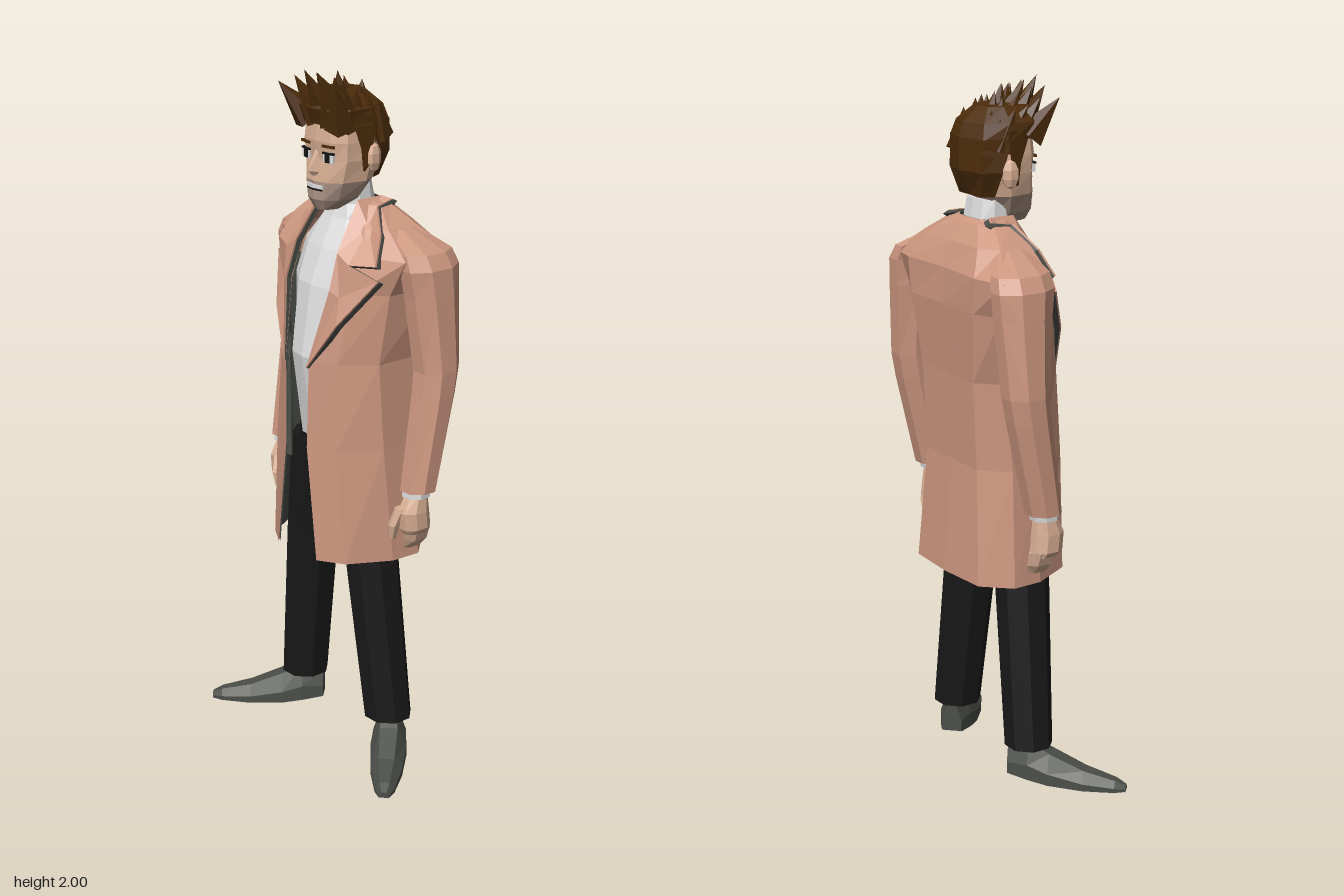
import * as THREE from 'three';

const mat = (name, color) => Object.assign(new THREE.MeshStandardMaterial({ color }), { name });

// Faceted geometry from a list of triangles, turned to face away from its centre
function facets(tris) {
  const c = new THREE.Vector3(), n = new THREE.Vector3();
  tris.forEach(t => t.forEach(p => c.addScaledVector(p, 1 / (tris.length * 3))));
  let vol = 0;
  for (const [a, b, d] of tris) {
    n.crossVectors(b.clone().sub(c), d.clone().sub(c));
    vol += a.clone().sub(c).dot(n);
  }
  const pts = tris.flatMap(([a, b, d]) => (vol < 0 ? [a, d, b] : [a, b, d]));
  const g = new THREE.BufferGeometry().setFromPoints(pts);
  g.computeVertexNormals();
  return g;
}

// Skin a row of rings; closed rings get end caps
function loft(rings, closed = true) {
  const tris = [], n = rings[0].length;
  for (let r = 0; r < rings.length - 1; r++)
    for (let i = 0; i < (closed ? n : n - 1); i++) {
      const j = (i + 1) % n, A = rings[r], B = rings[r + 1];
      tris.push([A[i], A[j], B[j]], [A[i], B[j], B[i]]);
    }
  if (closed) for (const [ring, up] of [[rings[0], false], [rings.at(-1), true]]) {
    const c = ring.reduce((s, p) => s.add(p), new THREE.Vector3()).divideScalar(n);
    for (let i = 0; i < n; i++) {
      const j = (i + 1) % n;
      tris.push(up ? [c, ring[i], ring[j]] : [c, ring[j], ring[i]]);
    }
  }
  return facets(tris);
}

// Ring from half an outline [x, z] running front to back, mirrored in x
function halfRing(y, half) {
  const right = half.map(([x, z]) => new THREE.Vector3(x, y, z));
  const left = half.filter(p => p[0] > 0).reverse().map(([x, z]) => new THREE.Vector3(-x, y, z));
  return [...right, ...left];
}
const halves = rows => rows.map(([y, ...half]) => halfRing(y, half));

// Level oval rings [y, cx, cz, rx, rz]
const ovals = (rows, sides = 8) => loft(rows.map(([y, cx, cz, rx, rz]) =>
  Array.from({ length: sides }, (_, i) => {
    const a = (i + 0.5) / sides * Math.PI * 2, k = 1 / Math.cos(Math.PI / sides);
    return new THREE.Vector3(cx + rx * k * Math.cos(a), y, cz + rz * k * Math.sin(a));
  })));

// Thin plate through [x, y, z] corners, between two offsets up and forward
const plate = (pts, d0, d1) => loft([d0, d1].map(d => pts.map(([x, y, z]) => new THREE.Vector3(x, y + d * 0.5, z + d))));

function flat(g) {
  const f = g.index ? g.toNonIndexed() : g;
  f.computeVertexNormals();
  return f;
}

// Mirror in x, keeping the faces outward
function mirror(g) {
  const f = g.clone().scale(-1, 1, 1), p = f.attributes.position;
  for (let i = 0; i < p.count; i += 3) {
    const b = new THREE.Vector3().fromBufferAttribute(p, i + 1);
    p.setXYZ(i + 1, p.getX(i + 2), p.getY(i + 2), p.getZ(i + 2));
    p.setXYZ(i + 2, b.x, b.y, b.z);
  }
  f.computeVertexNormals();
  return f;
}

export function createModel() {
  const model = new THREE.Group();
  const coat = mat('coat tan', 0xcd9780), lining = mat('lining and shoe grey', 0x4b4e48);
  const shirt = mat('shirt white', 0xdedede), trousers = mat('trouser black', 0x191919);
  const skin = mat('skin', 0xd9b095), stubble = mat('stubble', 0xab9284);
  const hair = mat('hair brown', 0x4d2d0b), ink = mat('eye black', 0x141414);
  for (const m of [coat, lining, hair]) m.side = THREE.DoubleSide;

  const add = (name, g, m) => {
    const mesh = new THREE.Mesh(g, m);
    mesh.name = name;
    model.add(mesh);
  };
  const both = (name, g, m) => {
    add(name + 'Left', g, m);
    add(name + 'Right', mirror(g), m);
  };

  // Long open coat; the outline runs from one front edge around the back to the other
  const coatShell = loft(halves([
    [0.62, [0.085, 0.165], [0.16, 0.12], [0.225, 0.0], [0.23, -0.09], [0.16, -0.165], [0, -0.175]],
    [0.95, [0.045, 0.165], [0.13, 0.13], [0.205, 0.02], [0.205, -0.08], [0.13, -0.15], [0, -0.15]],
    [1.2, [0.05, 0.16], [0.12, 0.12], [0.195, 0.03], [0.195, -0.1], [0.13, -0.162], [0, -0.162]],
    [1.4, [0.09, 0.105], [0.15, 0.085], [0.22, 0.015], [0.235, -0.14], [0.16, -0.18], [0, -0.177]],
    [1.5, [0.09, 0.07], [0.16, 0.05], [0.265, 0.0], [0.28, -0.16], [0.17, -0.182], [0, -0.172]],
    [1.57, [0.08, 0.03], [0.12, 0.02], [0.185, -0.01], [0.19, -0.11], [0.13, -0.145], [0, -0.145]],
    [1.62, [0.075, -0.005], [0.09, -0.02], [0.115, -0.04], [0.11, -0.08], [0.07, -0.105], [0, -0.11]],
    [1.63, [0.07, -0.01], [0.075, -0.02], [0.08, -0.04], [0.075, -0.07], [0.05, -0.088], [0, -0.093]],
  ]), false);
  add('coatBody', coatShell, coat);
  add('coatLining', coatShell.clone().scale(0.98, 1, 0.975), lining);
  both('frontFacing', plate([[0.037, 0.9, 0.155], [0.05, 0.9, 0.16], [0.056, 1.2, 0.152], [0.052, 1.26, 0.142], [0.041, 1.2, 0.152]], -0.004, 0), lining);

  // Raised collar and lapels, each a thin plate with a dark backing
  const lapel = [[0.05, 1.18, 0.158], [0.13, 1.31, 0.118], [0.215, 1.44, 0.042], [0.135, 1.475, 0.078], [0.09, 1.5, 0.08], [0.094, 1.4, 0.112]];
  const collar = [[0.135, 1.475, 0.078], [0.207, 1.48, 0.045], [0.182, 1.555, 0.006], [0.12, 1.617, -0.035],
    [0.108, 1.626, -0.098], [0.08, 1.632, -0.085], [0.073, 1.63, -0.005], [0.09, 1.5, 0.08]];
  for (const [name, pts] of [['lapel', lapel], ['collar', collar]]) {
    both(name, plate(pts, 0.007, 0.012), coat);
    both(name + 'Backing', plate(pts, -0.008, 0.007), lining);
  }

  // Sleeves with sloping shoulders, cuffs and hands
  both('sleeve', ovals([
    [1.568, 0.165, -0.068, 0.03, 0.045], [1.515, 0.245, -0.085, 0.047, 0.082], [1.475, 0.263, -0.088, 0.052, 0.088],
    [1.4, 0.269, -0.092, 0.054, 0.08], [1.19, 0.288, -0.095, 0.055, 0.063], [1.12, 0.289, -0.085, 0.054, 0.06],
    [0.85, 0.287, -0.035, 0.049, 0.048],
  ]), coat);
  both('cuff', ovals([[0.86, 0.286, -0.033, 0.038, 0.04], [0.832, 0.286, -0.03, 0.037, 0.039]]), shirt);
  both('palm', ovals([
    [0.84, 0.285, -0.03, 0.028, 0.03], [0.79, 0.286, -0.02, 0.034, 0.045],
    [0.74, 0.288, -0.025, 0.032, 0.045], [0.725, 0.286, -0.03, 0.026, 0.042],
  ]), skin);
  both('fingers', ovals([[0.74, 0.286, -0.035, 0.027, 0.04], [0.7, 0.275, -0.038, 0.024, 0.036], [0.672, 0.263, -0.038, 0.012, 0.03]], 6), skin);
  both('thumb', ovals([[0.8, 0.272, 0.012, 0.016, 0.018], [0.75, 0.262, 0.03, 0.014, 0.016], [0.71, 0.255, 0.03, 0.009, 0.011]], 6), skin);

  // High-necked shirt
  add('shirt', loft(halves([
    [0.95, [0, 0.1], [0.06, 0.095], [0.13, 0.04], [0.14, -0.05], [0.08, -0.11], [0, -0.11]],
    [1.2, [0, 0.145], [0.06, 0.13], [0.13, 0.06], [0.15, -0.05], [0.09, -0.12], [0, -0.12]],
    [1.4, [0, 0.112], [0.07, 0.098], [0.14, 0.05], [0.16, -0.06], [0.1, -0.13], [0, -0.13]],
    [1.5, [0, 0.073], [0.07, 0.063], [0.13, 0.02], [0.16, -0.07], [0.1, -0.12], [0, -0.13]],
    [1.58, [0, 0.035], [0.05, 0.025], [0.075, -0.01], [0.08, -0.06], [0.06, -0.09], [0, -0.1]],
    [1.62, [0, 0.02], [0.04, 0.015], [0.066, -0.01], [0.066, -0.05], [0.045, -0.08], [0, -0.085]],
    [1.68, [0, 0.02], [0.04, 0.015], [0.062, -0.01], [0.062, -0.045], [0.04, -0.07], [0, -0.075]],
  ])), shirt);

  // Trousers
  add('trouserSeat', ovals([[0.97, 0, -0.005, 0.135, 0.108], [0.92, 0, -0.005, 0.145, 0.1], [0.86, 0, -0.005, 0.13, 0.08]], 10), trousers);
  both('trouserLeg', ovals([[0.93, 0.08, 0, 0.077, 0.095], [0.62, 0.131, 0, 0.072, 0.073], [0.12, 0.191, -0.015, 0.065, 0.064]]), trousers);

  // Turned-out pointed shoes with pale soles: [z, half width, bottom, top]
  const shoeRows = [
    [-0.062, 0.03, 0.036, 0.12], [0, 0.047, 0.028, 0.14], [0.06, 0.052, 0.018, 0.105],
    [0.16, 0.045, 0.008, 0.06], [0.25, 0.028, 0.004, 0.035], [0.28, 0.014, 0.004, 0.02],
  ];
  const turnOut = rings => loft(rings.map((ring, i) => ring.map(([x, y]) => new THREE.Vector3(x, y, shoeRows[i][0]))))
    .rotateY(0.8).translate(0.2, 0, -0.015);
  both('shoe', turnOut(shoeRows.map(([, w, b, t]) => [[-w, b], [w, b], [w, b + (t - b) * 0.4],
    [w * 0.5, t], [-w * 0.5, t], [-w, b + (t - b) * 0.4]])), lining);
  both('sole', turnOut(shoeRows.map(([, w, b]) => [[-w * 0.97, b - 0.002], [w * 0.97, b - 0.002], [w * 0.97, b], [-w * 0.97, b]])), shirt);

  // Head: stubbled jaw below, skin above
  const cheek = [1.69, [0, 0.098], [0.043, 0.09], [0.076, 0.06], [0.09, -0.01], [0.06, -0.06], [0, -0.07]];
  add('jaw', loft(halves([
    [1.61, [0, 0.086], [0.022, 0.08], [0.032, 0.06], [0.034, 0.04], [0.02, 0.02], [0, 0.015]],
    [1.64, [0, 0.102], [0.034, 0.092], [0.058, 0.06], [0.066, 0.0], [0.04, -0.03], [0, -0.04]],
    cheek,
  ])), stubble);
  add('face', loft(halves([
    cheek,
    [1.75, [0, 0.088], [0.05, 0.083], [0.088, 0.055], [0.1, -0.02], [0.07, -0.08], [0, -0.1]],
    [1.8, [0, 0.094], [0.055, 0.086], [0.09, 0.055], [0.1, -0.02], [0.07, -0.08], [0, -0.1]],
    [1.87, [0, 0.086], [0.05, 0.08], [0.085, 0.05], [0.095, -0.02], [0.07, -0.08], [0, -0.1]],
  ])), skin);
  add('nose', loft([
    [[-0.007, 1.775, 0.084], [0.007, 1.775, 0.084], [0, 1.775, 0.094]],
    [[-0.016, 1.715, 0.088], [0.016, 1.715, 0.088], [0, 1.72, 0.12]],
    [[-0.01, 1.704, 0.088], [0.01, 1.704, 0.088], [0, 1.706, 0.105]],
  ].map(r => r.map(p => new THREE.Vector3(...p)))), skin);
  both('ear', flat(new THREE.SphereGeometry(1, 6, 5)).scale(0.015, 0.04, 0.026).rotateY(0.3).translate(0.106, 1.755, -0.025), skin);

  // Painted face details
  const paint = (x, y, z, w, h, turn) => flat(new THREE.BoxGeometry(w, h, 0.008)).rotateY(turn).translate(x, y, z);
  both('eyeWhite', paint(0.046, 1.758, 0.084, 0.036, 0.024, 0.15), shirt);
  both('pupil', paint(0.045, 1.758, 0.087, 0.016, 0.024, 0.15), ink);
  both('eyelid', paint(0.046, 1.771, 0.086, 0.04, 0.005, 0.15), ink);
  both('brow', paint(0.047, 1.79, 0.087, 0.042, 0.007, 0.15), hair);
  both('mouth', paint(0.016, 1.676, 0.096, 0.034, 0.01, 0.2), shirt);
  both('mouthLine', paint(0.015, 1.668, 0.097, 0.03, 0.004, 0.2), ink);

  // Hair: nape, sideburns, rounded crown and swept clumps
  add('hairBack', loft(halves([
    [1.69, [0.07, -0.05], [0.055, -0.085], [0, -0.085]],
    [1.76, [0.103, -0.045], [0.08, -0.1], [0, -0.12]],
    [1.85, [0.108, -0.02], [0.083, -0.097], [0, -0.122]],
  ]), false), hair);
  both('sideburn', plate([[0.097, 1.87, 0.045], [0.099, 1.78, 0.012], [0.098, 1.72, 0.005], [0.103, 1.74, -0.01], [0.108, 1.87, -0.03]], -0.003, 0.003), hair);
  add('hairCrown', loft(halves([
    [1.845, [0, 0.092], [0.055, 0.088], [0.096, 0.055], [0.108, -0.02], [0.083, -0.097], [0, -0.122]],
    [1.89, [0, 0.107], [0.06, 0.1], [0.1, 0.055], [0.1, -0.02], [0.07, -0.085], [0, -0.107]],
    [1.93, [0, 0.085], [0.045, 0.075], [0.06, 0.045], [0.06, -0.015], [0.035, -0.05], [0, -0.06]],
  ])), hair);
  let seed = 7;
  const rand = () => (seed = (seed * 16807) % 2147483647) / 2147483647;
  const up = new THREE.Vector3(0, 1, 0);
  for (let row = 0; row < 5; row++) for (let i = -2; i <= 2; i++) {
    const x = i * 0.034 + (rand() - 0.5) * 0.02, z = 0.068 - row * 0.032;
    const dir = new THREE.Vector3(x * 4.5, 1, 0.6 - row * 0.12 + (rand() - 0.5) * 0.35).normalize();
    const len = 0.14 + rand() * 0.02 - row * 0.008 - Math.abs(i) * 0.006;
    const clump = flat(new THREE.ConeGeometry(0.045, len, 5)).rotateY(rand() * 1.5).translate(0, len * 0.35, 0)
      .applyQuaternion(new THREE.Quaternion().setFromUnitVectors(up, dir))
      .translate(x, 1.887 - Math.abs(i) * 0.012 - Math.max(0, row - 1) * 0.013, z);
    add('hairClump', clump, hair);
  }
  return model;
}
